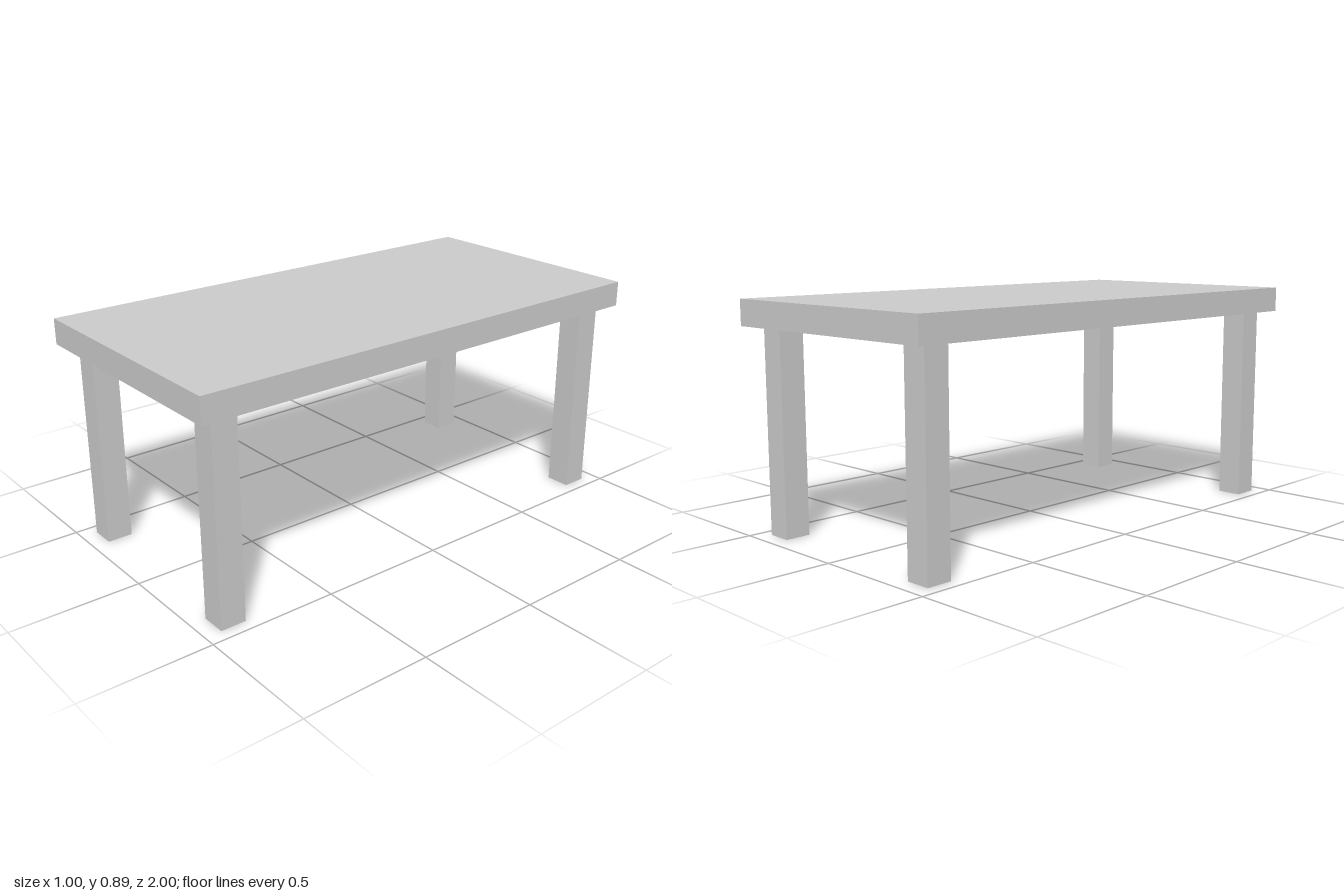
import * as THREE from 'three';

const TOP_HEIGHT = 0.89;
const TOP_THICKNESS = 0.1;
const LEG_WIDTH = 0.1;
const LEG_X = 0.4;
const LEG_Z = 0.885;

export function createModel() {
  const table = new THREE.Group();
  table.name = 'table';
  const material = new THREE.MeshStandardMaterial({ color: 0xcccccc });

  const addBox = (name, size, position) => {
    const mesh = new THREE.Mesh(new THREE.BoxGeometry(...size), material);
    mesh.name = name;
    mesh.position.set(...position);
    table.add(mesh);
  };

  // Slab top
  addBox('tableTop', [1, TOP_THICKNESS, 2], [0, TOP_HEIGHT - TOP_THICKNESS / 2, 0]);

  // Four square legs, inset from the corners
  const legHeight = TOP_HEIGHT - TOP_THICKNESS;
  for (const [end, sz] of [['front', 1], ['back', -1]]) {
    for (const [side, sx] of [['Left', 1], ['Right', -1]]) {
      addBox(`${end}${side}Leg`, [LEG_WIDTH, legHeight, LEG_WIDTH], [sx * LEG_X, legHeight / 2, sz * LEG_Z]);
    }
  }

  return table;
}
